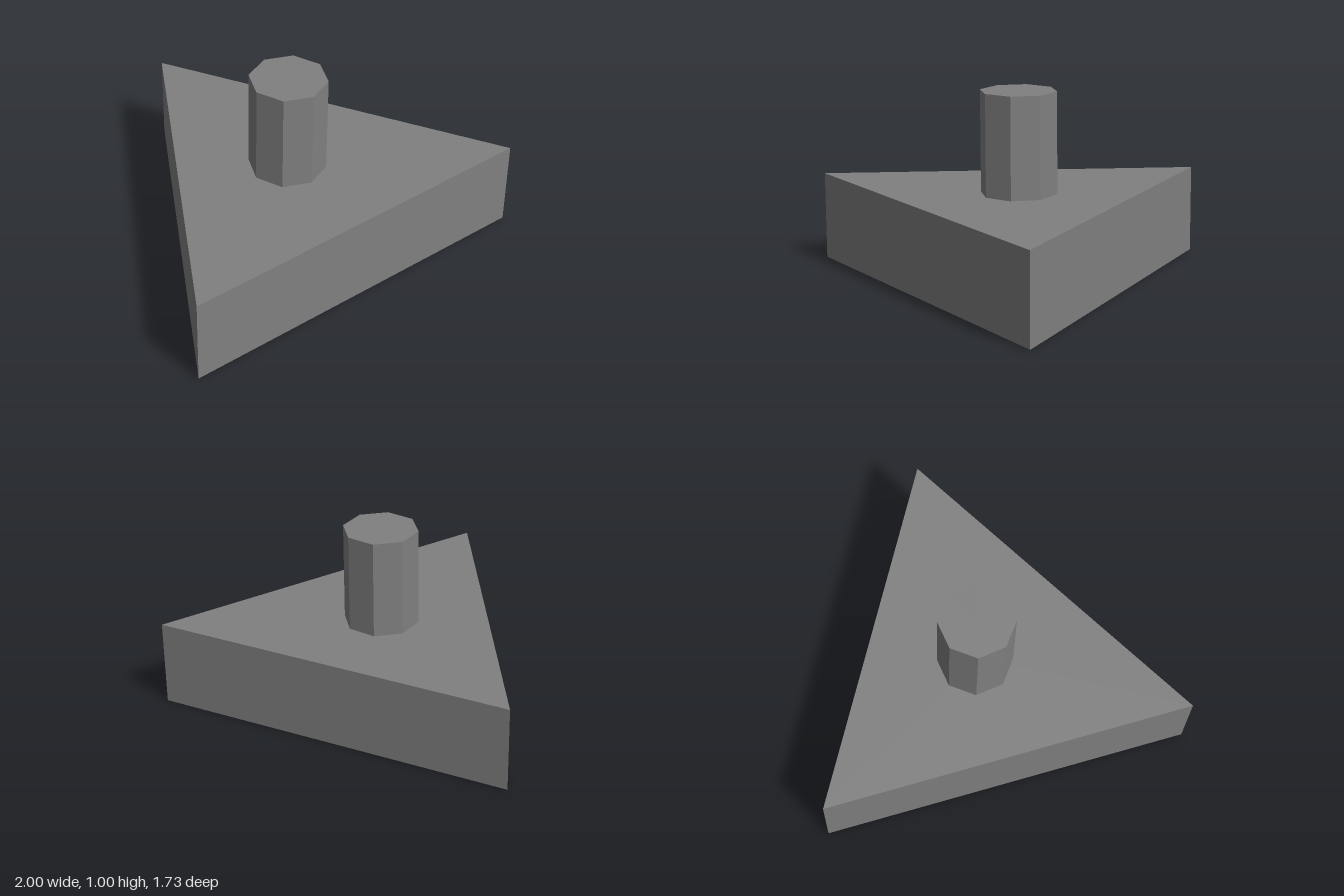
import * as THREE from 'three';

export function createModel() {
  const model = new THREE.Group();
  const grey = new THREE.MeshStandardMaterial({ color: 0x808080, flatShading: true });
  grey.name = 'grey';

  // Upright prism with a regular polygon as its outline
  function prism(name, radius, sides, bottom, top, z, start) {
    const geometry = new THREE.CylinderGeometry(radius, radius, top - bottom, sides, 1, false, start);
    const mesh = new THREE.Mesh(geometry, grey);
    mesh.name = name;
    mesh.position.set(0, (bottom + top) / 2, z);
    model.add(mesh);
  }

  // Triangular base: sides of 2 units, one corner pointing back
  const baseRadius = 2 / Math.sqrt(3);
  prism('base', baseRadius, 3, 0, 0.467, Math.sqrt(3) / 2 - baseRadius / 2, Math.PI);

  // Eight-sided post standing on the base
  prism('post', 0.2, 8, 0.467, 1, 0.267, 0);

  return model;
}
